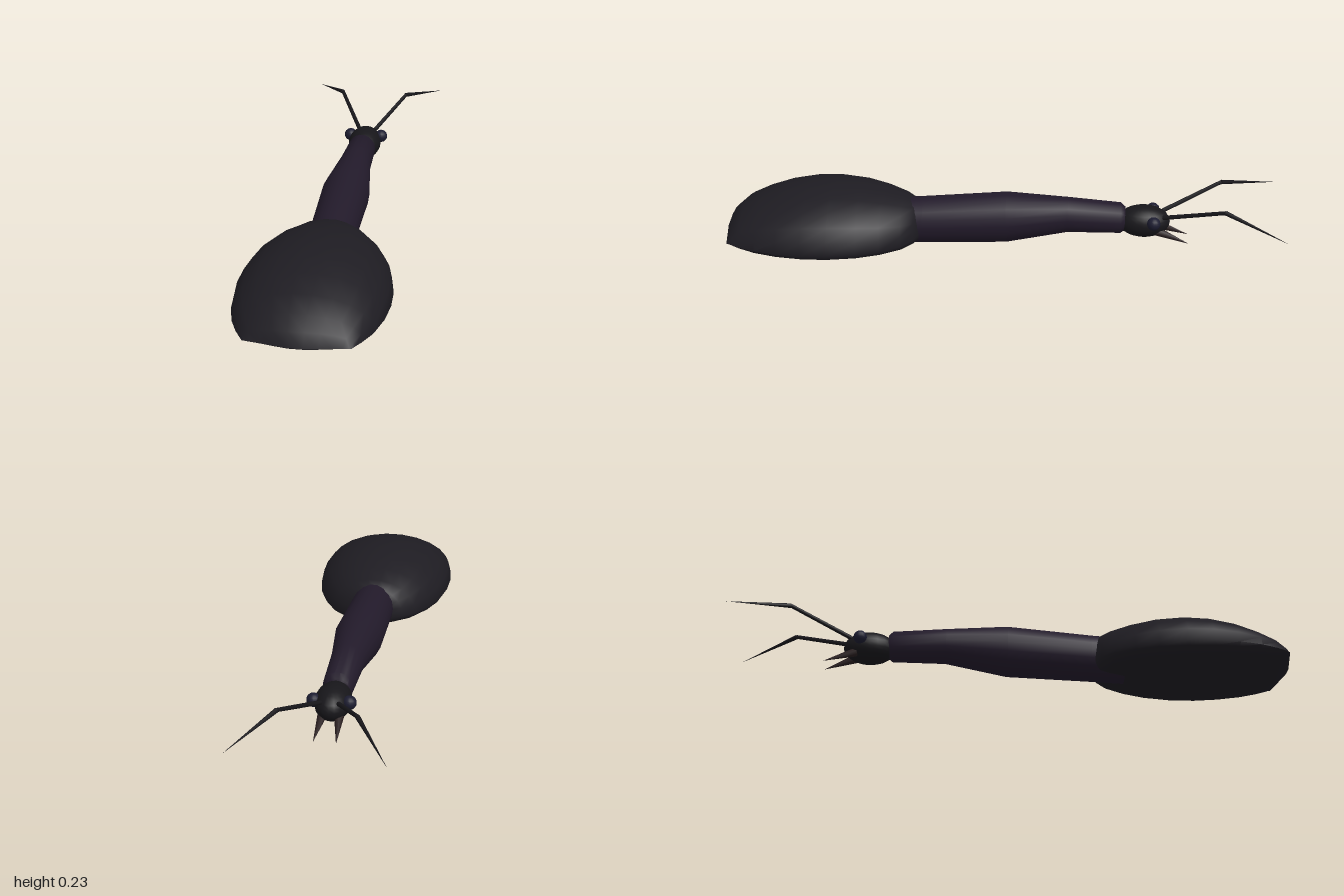
import * as THREE from 'three';
import { toCreasedNormals } from 'three/addons/utils/BufferGeometryUtils.js';

const paint = (color) => new THREE.MeshStandardMaterial({ color });
const shell = paint(0x1e1c22), thorax = paint(0x221a2a), black = paint(0x17161a);
const eyeMat = paint(0x1c1c30), jawMat = paint(0x2a1f20);

// Skin elliptical rings along z: [z, halfWidth, top, bottom, widestY, bow]
function loft(rings, sides, crease) {
  const pos = [], idx = [];
  for (const [z, w, top, bottom, mid = (top + bottom) / 2, bow = 0] of rings) {
    for (let k = 0; k < sides; k++) {
      const a = (k / sides) * Math.PI * 2, c = Math.cos(a), s = Math.sin(a);
      pos.push(w * c, mid + s * (s > 0 ? top - mid : mid - bottom), z + bow * (1 - Math.abs(c)));
    }
  }
  for (let i = 0; i < rings.length - 1; i++) {
    for (let k = 0; k < sides; k++) {
      const n = (k + 1) % sides;
      const a = i * sides + k, b = i * sides + n, c = a + sides, d = b + sides;
      idx.push(a, b, c, b, d, c);
    }
  }
  // end caps, skipped where the ring closes to a line
  [0, rings.length - 1].forEach((r, e) => {
    const [z, , top, bottom] = rings[r];
    if (top - bottom < 0.001) return;
    const centre = pos.length / 3;
    pos.push(0, (top + bottom) / 2, z);
    for (let k = 0; k < sides; k++) {
      const a = r * sides + k, b = r * sides + ((k + 1) % sides);
      if (e) idx.push(centre, a, b);
      else idx.push(centre, b, a);
    }
  });
  const geo = new THREE.BufferGeometry();
  geo.setAttribute('position', new THREE.Float32BufferAttribute(pos, 3));
  geo.setIndex(idx);
  return toCreasedNormals(geo, crease);
}

// Tapered rod from a to b
function rod(a, b, ra, rb, sides) {
  const from = new THREE.Vector3(...a), dir = new THREE.Vector3(...b).sub(from);
  const geo = new THREE.CylinderGeometry(rb, ra, dir.length(), sides);
  geo.applyQuaternion(new THREE.Quaternion().setFromUnitVectors(new THREE.Vector3(0, 1, 0), dir.clone().normalize()));
  geo.translate(...from.addScaledVector(dir, 0.5).toArray());
  return geo;
}

export function createModel() {
  const model = new THREE.Group();
  const add = (name, geo, mat) => {
    const mesh = new THREE.Mesh(geo, mat);
    mesh.name = name;
    model.add(mesh);
    return mesh;
  };

  // Broad domed abdomen, closing to a flat, slightly pointed rear edge
  add('abdomen', loft([
    [0.29, 0.07, 0.15, 0.035, 0.07],
    [0.31, 0.115, 0.17, 0.025, 0.065],
    [0.35, 0.16, 0.186, 0.018, 0.06],
    [0.42, 0.203, 0.206, 0.01, 0.06],
    [0.5, 0.234, 0.222, 0.005, 0.06],
    [0.6, 0.252, 0.23, 0.002, 0.06],
    [0.69, 0.255, 0.224, 0.005, 0.06],
    [0.78, 0.246, 0.205, 0.012, 0.06],
    [0.86, 0.226, 0.175, 0.021, 0.06, 0.006],
    [0.92, 0.2, 0.143, 0.033, 0.06, 0.015],
    [0.955, 0.18, 0.105, 0.045, 0.06, 0.025],
    [0.97, 0.17, 0.058, 0.058, 0.058, 0.03],
  ], 22, 0.9), shell);

  // Long thorax, thickest in the middle
  add('thorax', loft([
    [-0.445, 0.042, 0.165, 0.08],
    [-0.43, 0.052, 0.18, 0.068],
    [-0.24, 0.059, 0.195, 0.066],
    [-0.02, 0.086, 0.207, 0.022],
    [0.28, 0.08, 0.18, 0.01],
    [0.4, 0.078, 0.172, 0.004],
  ], 18, 0.9), thorax);

  // Head
  const head = add('head', new THREE.SphereGeometry(1, 20, 14), black);
  head.scale.set(0.062, 0.058, 0.094);
  head.position.set(0, 0.115, -0.512);

  for (const s of [1, -1]) {
    const side = s > 0 ? 'left' : 'right';
    // Bulging eyes
    const eye = add(side + 'Eye', new THREE.SphereGeometry(0.024, 14, 10), eyeMat);
    eye.position.set(s * 0.06, 0.132, -0.546);
    // Pointed jaws
    add(side + 'Jaw', rod([s * 0.028, 0.088, -0.56], [s * 0.038, 0.046, -0.675], 0.017, 0, 8), jawMat);
    // Two-part bent antennae
    const knee = [s * 0.128, 0.216, -0.79];
    add(side + 'AntennaBase', rod([s * 0.03, 0.142, -0.58], knee, 0.008, 0.007, 7), black);
    add(side + 'AntennaTip', rod(knee, [s * 0.253, 0.165, -1.0], 0.0085, 0, 7), black);
  }
  return model;
}
